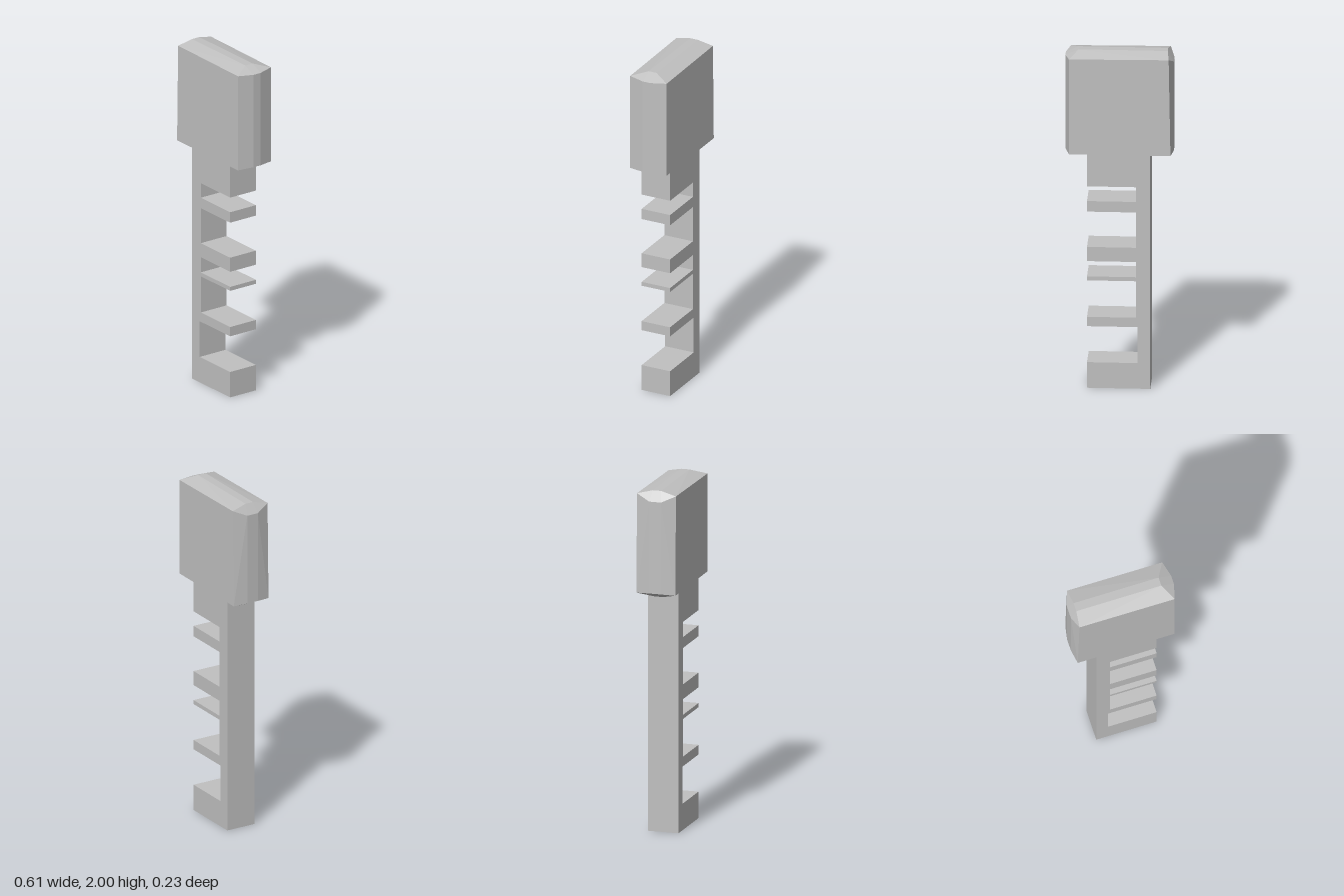
import * as THREE from 'three';
import { ConvexGeometry } from 'three/addons/geometries/ConvexGeometry.js';

export function createModel() {
  const model = new THREE.Group();
  const grey = new THREE.MeshStandardMaterial({ color: 0xc0c0c0 });
  grey.name = 'plainGrey';

  const add = (name, geometry) => {
    const mesh = new THREE.Mesh(geometry, grey);
    mesh.name = name;
    model.add(mesh);
    return mesh;
  };

  // Handle: flat front and back, with each edge bulging to a narrow ridge.
  // Each entry is x, y, half depth and is mirrored front to back.
  const profile = [
    [-0.29, 1.405, 0.115], [-0.28, 1.978, 0.115], [0.28, 1.972, 0.115], [0.28, 1.405, 0.115], // faces
    [-0.27, 2, 0.025], [0.23, 2, 0.025],         // top ridge
    [-0.24, 1.378, 0.025], [0.23, 1.378, 0.025], // bottom ridge
    [-0.305, 1.41, 0.035], [-0.305, 1.942, 0.035], // right ridge
    [0.304, 1.41, 0.025], [0.304, 1.967, 0.025],   // left ridge
  ];
  const points = profile.flatMap(([x, y, z]) => [new THREE.Vector3(x, y, z), new THREE.Vector3(x, y, -z)]);
  add('handle', new ConvexGeometry(points));

  // Blade: one comb-shaped outline, walked up the notched edge.
  const back = -0.175, tip = 0.18;
  const notches = [ // bottom, top, inner x
    [0.153, 0.368, -0.105],
    [0.424, 0.642, -0.095],
    [0.666, 0.757, -0.095],
    [0.842, 1.053, -0.095],
    [1.116, 1.204, -0.095],
  ];
  const outline = new THREE.Shape();
  outline.moveTo(back, 0);
  outline.lineTo(tip, 0);
  for (const [low, high, inner] of notches) {
    outline.lineTo(tip, low);
    outline.lineTo(inner, low);
    outline.lineTo(inner, high);
    outline.lineTo(tip, high);
  }
  outline.lineTo(tip, 1.4);
  outline.lineTo(back, 1.4);
  outline.closePath();
  const blade = add('notchedBlade', new THREE.ExtrudeGeometry(outline, { depth: 0.18, bevelEnabled: false }));
  blade.position.z = -0.085;

  return model;
}
